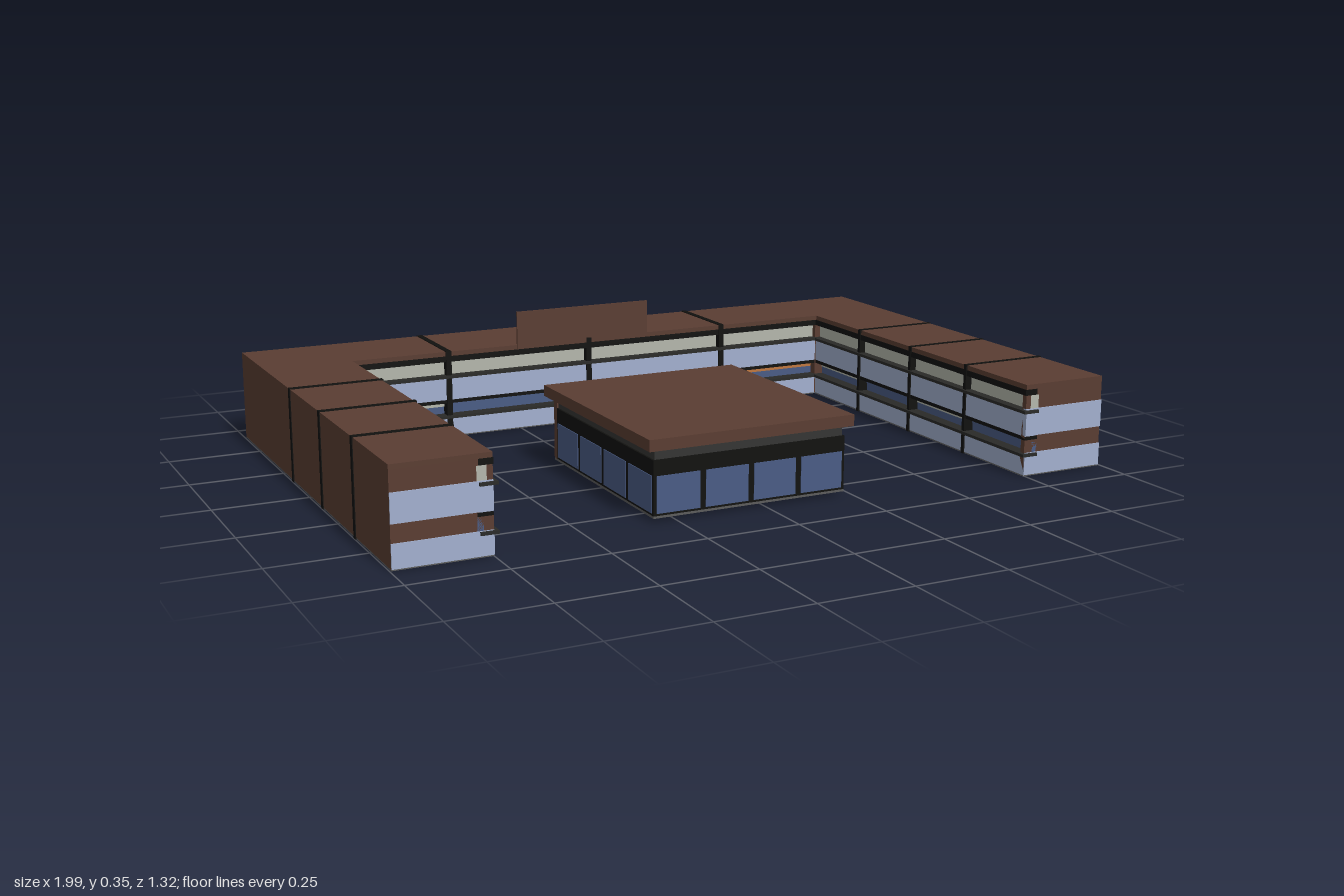
import * as THREE from 'three';

const BROWN = 0x5a3d32, BLUE = 0xa3b0cf, BLACK = 0x11110f, GLASS = 0x4a5c85,
  PALE = 0xb4b7ac, GREY = 0x5c5c5c, ORANGE = 0xc07840;
const materials = {};
const paint = (color) => (materials[color] ??= new THREE.MeshStandardMaterial({ color }));

// Box given by its extents on each axis
function box(parent, name, color, [x0, x1], [y0, y1], [z0, z1]) {
  const mesh = new THREE.Mesh(new THREE.BoxGeometry(x1 - x0, y1 - y0, z1 - z0), paint(color));
  mesh.position.set((x0 + x1) / 2, (y0 + y1) / 2, (z0 + z1) / 2);
  mesh.name = name;
  parent.add(mesh);
  return mesh;
}

const H = 0.248, D = 0.247, RECESS = -0.035;

// One straight range: runs along x from 0 to length, courtyard face at z = 0.
// trim = how far the ledges run, joints = black expansion joints, strips = display colour per bay
function makeRange(name, length, joints, jointWidth, trim, strips) {
  const g = new THREE.Group();
  g.name = name;
  const run = [0, length], face = [RECESS, 0];
  box(g, 'floorPlate', GREY, run, [0, 0.003], [-D, 0]);
  box(g, 'outerWall', BROWN, run, [0.003, 0.235], [-D, RECESS - 0.005]);
  box(g, 'roof', BROWN, run, [0.235, H], [-D, 0]);

  // courtyard face: solid bands with recessed window strips between
  box(g, 'lowerPanel', BLUE, run, [0.003, 0.058], face);
  box(g, 'middlePanel', BLUE, run, [0.108, 0.175], face);
  box(g, 'fascia', BLACK, run, [0.219, 0.235], [RECESS, 0.002]);
  box(g, 'upperWindow', PALE, run, [0.175, 0.219], [RECESS - 0.005, RECESS + 0.02]);
  const stops = [0, ...joints, length];
  strips.forEach((color, i) => {
    const bay = [stops[i], stops[i + 1]];
    box(g, 'displayStrip', color, bay, [0.084, 0.1], [RECESS - 0.005, RECESS + 0.012]);
    box(g, 'lowerWindow', GLASS, bay, [0.058, 0.084], [RECESS - 0.005, RECESS + 0.01]);
  });
  box(g, 'windowHead', BLACK, run, [0.098, 0.108], [RECESS - 0.005, 0]);
  for (const y of [0.058, 0.175]) box(g, 'ledge', 0x2a2a28, trim, [y - 0.003, y + 0.005], [RECESS, 0.01]);

  // joints wrap all the way round the section
  for (const x of joints) {
    box(g, 'joint', BLACK, [x - jointWidth / 2, x + jointWidth / 2], [-0.001, H + 0.002], [-D - 0.002, 0.004]);
  }
  return g;
}

// Striped end wall closing a wing at the front
function endWall(parent, x0, x1) {
  box(parent, 'endWall', BROWN, [x0, x1], [0.002, H - 0.001], [0.635, 0.65]);
  for (const y of [[0.004, 0.064], [0.11, 0.183]]) box(parent, 'endBand', BLUE, [x0, x1], y, [0.64, 0.653]);
}

function makePavilion() {
  const g = new THREE.Group();
  g.name = 'pavilion';
  const x0 = -0.31, x1 = 0.23, z0 = -0.03, z1 = 0.58;
  box(g, 'pavilionFloor', GREY, [x0, x1], [0.008, 0.014], [z0, z1]);
  box(g, 'rearWall', BROWN, [x0, x1], [0.012, 0.185], [z0, z0 + 0.02]);
  box(g, 'frame', BLACK, [x0, x1], [0.014, 0.155], [z0 + 0.02, z1]);
  box(g, 'frieze', 0x353533, [x0 + 0.005, x1 - 0.005], [0.155, 0.185], [z0 + 0.01, z1 - 0.005]);
  box(g, 'pavilionRoof', BROWN, [-0.33, 0.245], [0.183, 0.213], [-0.05, 0.6]);
  // four panes on the front and on each side
  const stepX = (x1 - x0) / 4, stepZ = (z1 - z0 - 0.02) / 4, gap = 0.008, y = [0.02, 0.115];
  for (let i = 0; i < 4; i++) {
    const px = x0 + i * stepX, pz = z0 + 0.02 + i * stepZ;
    box(g, 'frontPane', GLASS, [px + gap, px + stepX - gap], y, [z1 - 0.005, z1 + 0.002]);
    for (const x of [x0, x1]) {
      box(g, 'sidePane', GLASS, [x - 0.002, x + 0.002], y, [pz + gap, pz + stepZ - gap]);
    }
  }
  return g;
}

export function createModel() {
  const model = new THREE.Group();
  model.name = 'courtyardBuilding';

  // back range between the two corners
  const back = makeRange('backRange', 1.49, [0.28, 0.715, 1.155], 0.016, [0, 1.49], [PALE, GLASS, PALE, ORANGE]);
  back.position.set(-0.75, 0, -0.415);
  model.add(back);
  for (const [name, x] of [['rightCorner', [-0.997, -0.75]], ['leftCorner', [0.74, 0.99]]]) {
    box(model, name, BROWN, x, [0.003, H], [-0.662, -0.415]);
    box(model, name + 'Floor', GREY, x, [0, 0.003], [-0.662, -0.415]);
  }

  // side wings, courtyard faces turned inward
  const len = 1.065;
  const right = makeRange('rightWing', len, [0.27, 0.54, 0.81], 0.016, [-0.01, len], [GLASS, PALE, GLASS, PALE]);
  right.rotation.y = Math.PI / 2;
  right.position.set(-0.75, 0, 0.65);
  const left = makeRange('leftWing', len, [0.255, 0.525, 0.795], 0.011, [0, len + 0.01], [PALE, GLASS, PALE, GLASS]);
  left.rotation.y = -Math.PI / 2;
  left.position.set(0.743, 0, -0.415);
  model.add(right, left);
  endWall(model, -0.997, -0.75);
  endWall(model, 0.743, 0.99);

  // plain board standing on the roof edge of the back range
  box(model, 'roofBoard', BROWN, [-0.26, 0.155], [0.236, 0.345], [-0.418, -0.412]);

  model.add(makePavilion());
  return model;
}
